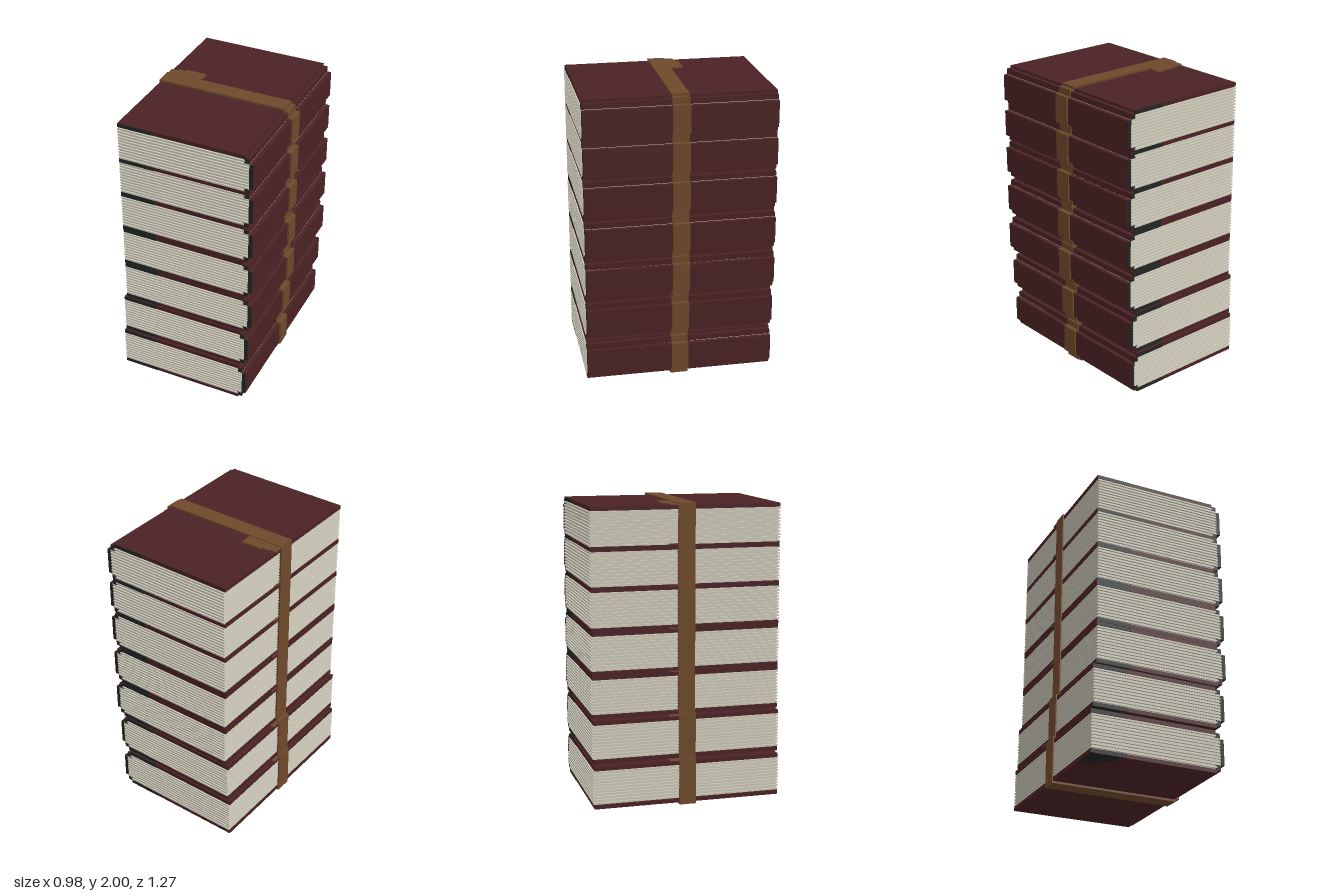
import * as THREE from 'three';

const mat = (name, color) => Object.assign(new THREE.MeshStandardMaterial({ color }), { name });

export function createModel() {
  const leather = mat('maroon leather', 0x4a2224);
  const paper = mat('paper', 0xcbc7b7);
  const strapBrown = mat('brown strap', 0x6e482b);
  const black = mat('black trim', 0x232424);

  // Box given by its limits on each axis
  const box = (parent, name, material, x0, x1, y0, y1, z0, z1) => {
    const mesh = new THREE.Mesh(new THREE.BoxGeometry(x1 - x0, y1 - y0, z1 - z0), material);
    mesh.position.set((x0 + x1) / 2, (y0 + y1) / 2, (z0 + z1) / 2);
    mesh.name = name;
    parent.add(mesh);
    return mesh;
  };

  const LEFT = -0.45, EDGE = 0.418, HINGE = 0.447, SPINE = 0.475;
  const DEPTH = 0.63, PAGE = 0.116, COVER = 0.143, BACK = 0.087;

  // Stepped strap outline, wrapping covers, hinges and spine
  const half = [[-0.457, 0.157], [0.415, 0.157], [0.428, 0.157], [0.428, 0.14],
    [0.455, 0.14], [0.455, 0.096], [0.486, 0.096]];
  const outline = [...half, ...half.map(([x, y]) => [x, -y]).reverse()];
  const strapGeometry = new THREE.ExtrudeGeometry(
    new THREE.Shape(outline.map(([x, y]) => new THREE.Vector2(x, y))),
    { depth: 0.114, bevelEnabled: false });
  strapGeometry.translate(0, 0, -0.057);

  function makeBook() {
    const book = new THREE.Group();
    book.name = 'book';

    // Page block: a core with protruding sheets
    box(book, 'pageCore', paper, -0.437, EDGE, -PAGE, PAGE, -0.626, 0.626);
    const sheets = 11, pitch = 2 * PAGE / sheets;
    for (let i = 0; i < sheets; i++) {
      const y = -PAGE + (i + 0.5) * pitch;
      const right = Math.abs(y) < BACK ? HINGE : EDGE;
      box(book, 'pageSheet', paper, -0.448, right, y - pitch * 0.27, y + pitch * 0.27, -0.637, 0.637);
    }
    box(book, 'pageBack', paper, EDGE, HINGE, -BACK, BACK, -0.626, 0.626);

    // Covers, stepped hinges and their black trim
    for (const s of [-1, 1]) {
      const slab = (name, m, x0, x1, a, b, z0, z1) =>
        box(book, name, m, x0, x1, Math.min(s * a, s * b), Math.max(s * a, s * b), z0, z1);
      slab('cover', leather, LEFT, EDGE, PAGE, COVER, -DEPTH, DEPTH);
      slab('hinge', leather, EDGE - 0.005, HINGE, BACK, 0.127, -DEPTH, DEPTH);
      slab('frontEdgeTrim', black, LEFT, -0.21, PAGE, COVER - 0.001, DEPTH, DEPTH + 0.003);
      slab('backEdgeTrim', black, 0.19, EDGE, PAGE, COVER - 0.001, -DEPTH - 0.003, -DEPTH);
      for (const z of [-DEPTH - 0.003, DEPTH])
        slab('hingeCap', black, EDGE - 0.005, HINGE, BACK, 0.118, z, z + 0.003);
    }

    // Spine with black ends
    box(book, 'spine', leather, HINGE, SPINE, -BACK, BACK, -DEPTH, DEPTH);
    for (const z of [-DEPTH - 0.003, DEPTH])
      box(book, 'spineCap', black, HINGE, SPINE - 0.001, -BACK, BACK, z, z + 0.003);

    // Rounded black corner patch under the lower cover
    const patch = new THREE.Mesh(new THREE.CircleGeometry(0.2, 16, 0, Math.PI / 2), black);
    patch.name = 'cornerPatch';
    patch.rotation.x = Math.PI / 2;
    patch.rotation.z = -Math.PI / 2;
    patch.position.set(LEFT, -COVER - 0.002, DEPTH);
    book.add(patch);

    // Strap and its loose end
    const strap = new THREE.Mesh(strapGeometry, strapBrown);
    strap.name = 'strap';
    book.add(strap);
    box(book, 'strapEnd', strapBrown, -0.455, -0.41, COVER, 0.151, -0.118, -0.05);
    box(book, 'strapEnd', strapBrown, -0.41, -0.355, COVER, 0.152, -0.13, -0.05);
    box(book, 'strapEnd', strapBrown, -0.355, -0.215, COVER, 0.153, -0.144, -0.05);
    return book;
  }

  // Stack, lower two books shifted away from the spine side
  const model = new THREE.Group();
  model.name = 'bookStack';
  const heights = [0.157, 0.46, 0.755, 1.042, 1.325, 1.59, 1.843];
  const shifts = [-0.035, -0.022, 0, 0, 0, 0, 0];
  heights.forEach((y, i) => {
    const book = makeBook();
    book.position.set(shifts[i], y, 0);
    model.add(book);
  });
  return model;
}
